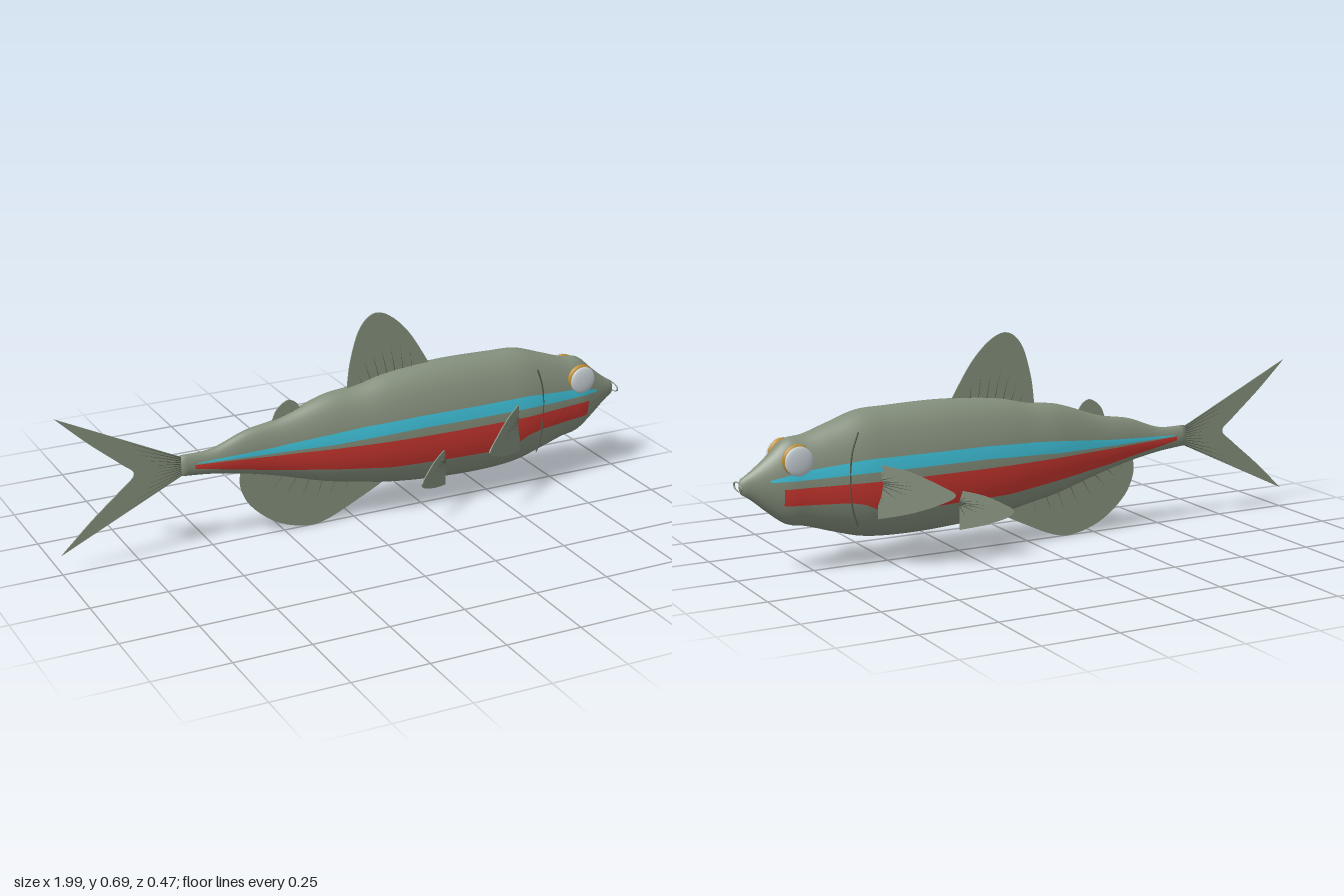
import * as THREE from 'three';

const mat = (name, color, side = THREE.FrontSide) => {
  const m = new THREE.MeshStandardMaterial({ color, side });
  m.name = name;
  return m;
};
const skin = mat('olive skin', 0x848f7c, THREE.DoubleSide);
const rayMat = mat('dark olive rays', 0x525a4c);
const red = mat('red stripe', 0xcc3730, THREE.DoubleSide);
const blue = mat('blue stripe', 0x3fc2da, THREE.DoubleSide);
const gold = mat('gold eye rim', 0xbb8d33);
const lens = mat('pale eye lens', 0xc6cfd4);

// Body stations: x, top, bottom, half width
const stations = [
  [-0.6, 0.33, 0.26, 0.017], [-0.5, 0.333, 0.25, 0.023], [-0.38, 0.375, 0.228, 0.033],
  [-0.27, 0.395, 0.2, 0.043], [-0.1, 0.45, 0.15, 0.068], [0, 0.462, 0.13, 0.08],
  [0.1, 0.485, 0.11, 0.09], [0.3, 0.502, 0.09, 0.099], [0.5, 0.5, 0.087, 0.1],
  [0.6, 0.495, 0.097, 0.097], [0.7, 0.463, 0.125, 0.083], [0.78, 0.437, 0.15, 0.069],
  [0.84, 0.427, 0.163, 0.06], [0.9, 0.376, 0.207, 0.041], [0.95, 0.337, 0.25, 0.024],
  [0.98, 0.318, 0.27, 0.014],
];
// Stripe rows: x, top, bottom
const redRows = [
  [-0.56, 0.298, 0.285], [-0.3, 0.288, 0.235], [-0.1, 0.286, 0.21], [0.1, 0.285, 0.187],
  [0.45, 0.285, 0.18], [0.56, 0.285, 0.19], [0.61, 0.285, 0.215], [0.66, 0.285, 0.225], [0.86, 0.283, 0.23],
];
const blueRows = [
  [-0.55, 0.303, 0.3], [-0.3, 0.317, 0.297], [-0.1, 0.338, 0.3], [0, 0.347, 0.306],
  [0.2, 0.356, 0.315], [0.6, 0.357, 0.315], [0.8, 0.336, 0.308], [0.9, 0.313, 0.306],
];

function lookup(rows, Kind) {
  const n = rows[0].length - 1;
  const it = new Kind(rows.map(r => r[0]), rows.flatMap(r => r.slice(1)), n, new Float32Array(n));
  return x => Array.from(it.evaluate(x));
}
const bodyAt = lookup(stations, THREE.CubicInterpolant);

// Surface through a grid of points; fn(i, j) gives [x, y, z]
function grid(nu, nv, fn, closed) {
  const pos = [], idx = [], cols = closed ? nv : nv + 1;
  for (let i = 0; i <= nu; i++) for (let j = 0; j < cols; j++) pos.push(...fn(i, j));
  for (let i = 0; i < nu; i++) for (let j = 0; j < nv; j++) {
    const k = (j + 1) % cols;
    const a = i * cols + j, b = a + cols, c = i * cols + k, d = c + cols;
    idx.push(a, c, b, b, c, d);
  }
  const g = new THREE.BufferGeometry();
  g.setAttribute('position', new THREE.Float32BufferAttribute(pos, 3));
  g.setIndex(idx);
  g.computeVertexNormals();
  return g;
}

function bodyGeometry() {
  const n = 90, sides = 48;
  return grid(n + 2, sides, (i, j) => {
    const x = -0.6 + 1.58 * THREE.MathUtils.clamp((i - 1) / n, 0, 1);
    const [top, bottom, w] = bodyAt(x);
    const s = i === 0 || i === n + 2 ? 0 : 1; // closed ends
    const a = (j / sides) * Math.PI * 2;
    return [x + (i === n + 2 ? 0.008 : 0),
      (top + bottom) / 2 + s * ((top - bottom) / 2) * Math.cos(a), s * w * Math.sin(a)];
  }, true);
}

// Thin coloured band hugging one flank
function stripeGeometry(rows, side) {
  const at = lookup(rows, THREE.LinearInterpolant);
  const x0 = rows[0][0], x1 = rows[rows.length - 1][0], n = 90, m = 6;
  return grid(n, m, (i, j) => {
    const x = x0 + (x1 - x0) * i / n;
    const [hi, lo] = at(x), [top, bottom, w] = bodyAt(x);
    const y = THREE.MathUtils.lerp(hi, lo, side > 0 ? j / m : 1 - j / m);
    const f = (y - (top + bottom) / 2) / ((top - bottom) / 2);
    return [x, y, side * (w + 0.003) * Math.sqrt(Math.max(0, 1 - f * f))];
  }, false);
}

// Flat fin between a base segment and a curved outer edge, with fanned rays
function fin(name, baseA, baseB, edgePts, rayCount) {
  const g = new THREE.Group();
  g.name = name;
  const v = p => new THREE.Vector2(...p);
  const a = v(baseA), b = v(baseB), edge = new THREE.SplineCurve(edgePts.map(v));
  const shape = new THREE.Shape([a, ...edge.getPoints(40), b]);
  const web = new THREE.Mesh(
    new THREE.ExtrudeGeometry(shape, { depth: 0.004, bevelEnabled: false }).translate(0, 0, -0.002), skin);
  web.name = name + 'Web';
  g.add(web);
  for (let i = 0; i < rayCount; i++) {
    const t = (i + 0.5) / rayCount;
    const p = a.clone().lerp(b, t), q = p.clone().lerp(edge.getPoint(t), 0.96);
    const d = q.clone().sub(p);
    const ray = new THREE.Mesh(new THREE.CylinderGeometry(0.0012, 0.003, d.length(), 6), rayMat);
    ray.position.set((p.x + q.x) / 2, (p.y + q.y) / 2, 0);
    ray.rotation.z = Math.atan2(d.y, d.x) - Math.PI / 2;
    ray.name = name + 'Ray';
    g.add(ray);
  }
  return g;
}

export function createModel() {
  const model = new THREE.Group();
  model.name = 'fish';
  const add = (name, geo, material, x = 0, y = 0, z = 0) => {
    const m = new THREE.Mesh(geo, material);
    m.name = name;
    m.position.set(x, y, z);
    model.add(m);
    return m;
  };

  add('body', bodyGeometry(), skin);

  // Mouth ring facing forward
  const mouth = add('mouth', new THREE.TorusGeometry(0.033, 0.003, 8, 32), skin, 0.989, 0.295, 0);
  mouth.rotation.y = Math.PI / 2;
  mouth.scale.y = 0.42;

  // Fins on the centre line
  model.add(
    fin('dorsalFin', [0, 0.43], [0.25, 0.48],
      [[-0.025, 0.455], [-0.012, 0.55], [0.02, 0.65], [0.07, 0.695], [0.13, 0.678], [0.2, 0.61], [0.27, 0.5]], 9),
    fin('adiposeFin', [-0.28, 0.37], [-0.19, 0.39],
      [[-0.29, 0.385], [-0.272, 0.425], [-0.235, 0.451], [-0.205, 0.44], [-0.185, 0.41]], 4),
    fin('analFin', [-0.39, 0.25], [0.1, 0.15],
      [[-0.4, 0.235], [-0.4, 0.18], [-0.365, 0.11], [-0.28, 0.04], [-0.18, 0.006], [-0.1, 0.012],
        [0.02, 0.065], [0.12, 0.115]], 11),
    fin('tailFin', [-0.59, 0.32], [-0.59, 0.265],
      [[-1, 0.52], [-0.9, 0.425], [-0.8, 0.34], [-0.755, 0.296], [-0.8, 0.25], [-0.9, 0.165], [-1, 0.07]], 12),
  );

  for (const s of [1, -1]) {
    const side = s > 0 ? 'front' : 'back';
    add(side + 'RedStripe', stripeGeometry(redRows, s), red);
    add(side + 'BlueStripe', stripeGeometry(blueRows, s), blue);

    // Eye: flattened gold ball with a pale lens outside
    add(side + 'EyeRim', new THREE.SphereGeometry(0.048, 32, 20), gold, 0.82, 0.372, s * 0.058)
      .scale.z = 0.32;
    add(side + 'EyeLens', new THREE.SphereGeometry(0.046, 32, 20), lens, 0.82, 0.37, s * 0.075)
      .scale.z = 0.23;

    // Gill slit
    const arc = new THREE.CatmullRomCurve3([[0.632, 0.444], [0.653, 0.38], [0.66, 0.3], [0.655, 0.21], [0.638, 0.15]]
      .map(([x, y]) => new THREE.Vector3(x, y, s * 0.09)));
    add(side + 'GillSlit', new THREE.TubeGeometry(arc, 32, 0.0025, 6), rayMat);

    // Paired fins swept back and outward
    const pectoral = fin(side + 'PectoralFin', [0, 0.29], [0, 0.27],
      [[-0.015, 0.335], [-0.1, 0.316], [-0.19, 0.278], [-0.243, 0.246], [-0.19, 0.215], [-0.1, 0.185], [0, 0.165]], 8);
    pectoral.position.set(0.57, 0, s * 0.09);
    pectoral.rotation.y = s * 0.63;
    const pelvic = fin(side + 'PelvicFin', [0, 0.19], [0, 0.175],
      [[-0.01, 0.222], [-0.08, 0.208], [-0.14, 0.183], [-0.172, 0.163], [-0.15, 0.14], [-0.08, 0.115], [0, 0.096]], 6);
    pelvic.position.set(0.29, 0, s * 0.09);
    pelvic.rotation.y = s * 0.63;
    model.add(pectoral, pelvic);
  }
  return model;
}
